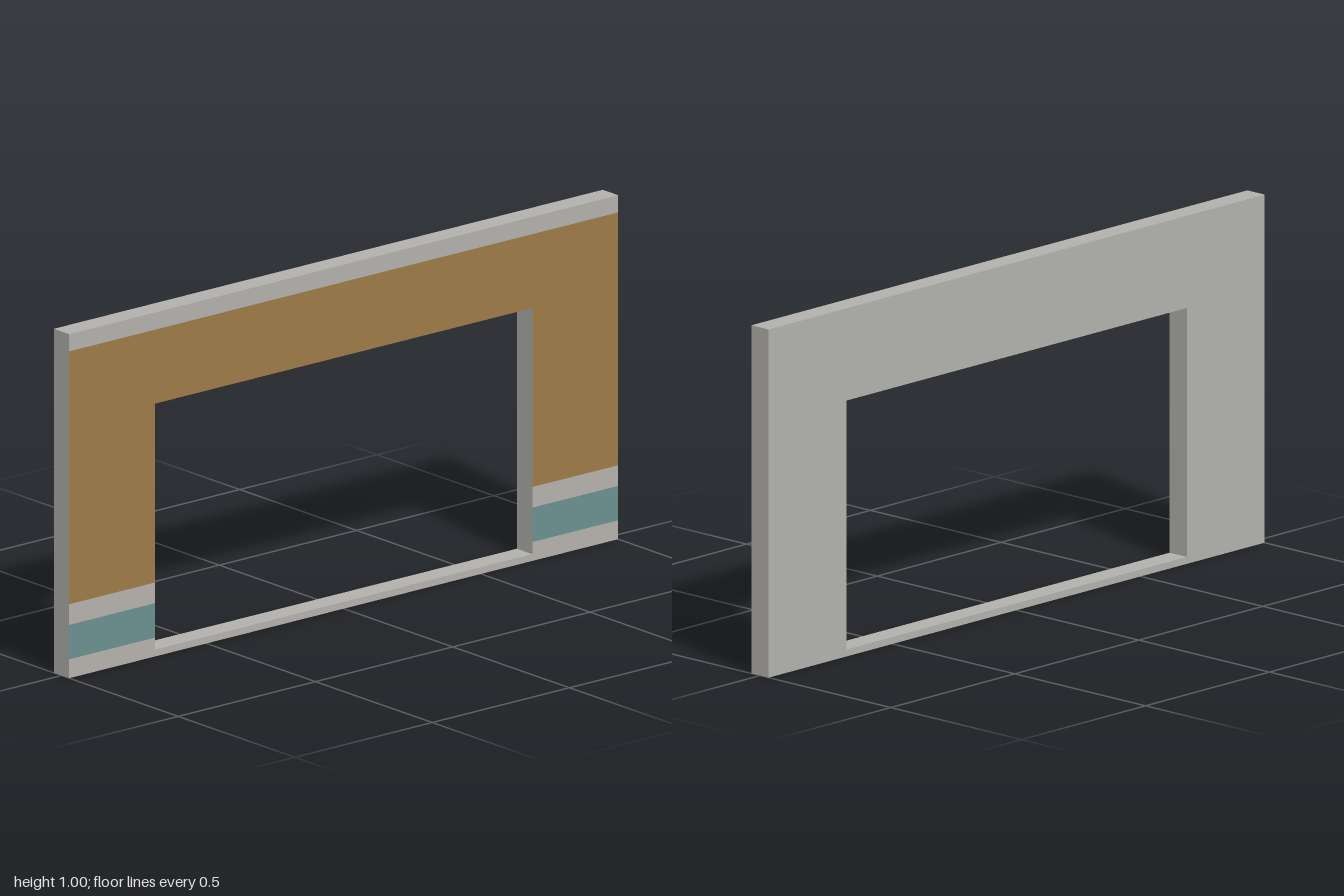
import * as THREE from 'three';

const T = 0.033;                      // half thickness
const OPEN = 0.687;                   // half width of the opening
const SILL = 0.02, LINTEL = 0.735;    // bottom and top of the opening

function material(name, color) {
  const m = new THREE.MeshStandardMaterial({ color, side: THREE.DoubleSide });
  m.name = name;
  return m;
}

export function createModel() {
  const grey = material('concrete grey', 0xb2b1ad);
  const pale = material('warm pale grey', 0xb5b0ac);
  const ochre = material('ochre', 0x9d7b46);
  const teal = material('teal', 0x6b9090);
  const group = new THREE.Group();
  group.name = 'wallFrame';

  const add = (name, geometry, mat, parent = group) => {
    const mesh = new THREE.Mesh(geometry, mat);
    mesh.name = name;
    parent.add(mesh);
  };

  // Flat rectangle on the painted side (+x)
  const panel = (name, z0, z1, y0, y1, mat, parent) => add(name,
    new THREE.PlaneGeometry(z1 - z0, y1 - y0).rotateY(Math.PI / 2)
      .translate(T, (y0 + y1) / 2, (z0 + z1) / 2), mat, parent);

  // Horizontal face, facing up (1) or down (-1)
  const level = (name, halfLength, y, facing) => add(name,
    new THREE.PlaneGeometry(2 * T, 2 * halfLength).rotateX(-facing * Math.PI / 2)
      .translate(0, y, 0), grey);

  // Upright face across the thickness, facing +z (1) or -z (-1)
  const upright = (name, z, y1, facing) => add(name,
    new THREE.PlaneGeometry(2 * T, y1).rotateY(facing > 0 ? 0 : Math.PI)
      .translate(0, y1 / 2, z), grey);

  // Plain side with the opening cut out
  const outline = new THREE.Shape([[-1, 0], [1, 0], [1, 1], [-1, 1]]
    .map(p => new THREE.Vector2(...p)));
  outline.holes.push(new THREE.Path(
    [[-OPEN, SILL], [-OPEN, LINTEL], [OPEN, LINTEL], [OPEN, SILL]]
      .map(p => new THREE.Vector2(...p))));
  add('plainSide', new THREE.ShapeGeometry(outline).rotateY(-Math.PI / 2)
    .translate(-T, 0, 0), grey);

  // Painted side: pillar bands, then lintel and sill
  const painted = new THREE.Group();
  painted.name = 'paintedSide';
  group.add(painted);
  const bands = [
    ['plinthBand', 0, 0.055, pale],
    ['tealBand', 0.055, 0.155, teal],
    ['paleBand', 0.155, 0.215, pale],
    ['ochrePillar', 0.215, LINTEL, ochre],
  ];
  for (const [z0, z1] of [[-1, -OPEN], [OPEN, 1]])
    for (const [name, y0, y1, mat] of bands) panel(name, z0, z1, y0, y1, mat, painted);
  panel('ochreLintel', -1, 1, LINTEL, 0.95, ochre, painted);
  panel('topBand', -1, 1, 0.95, 1, grey, painted);
  panel('sillFront', -OPEN, OPEN, 0, SILL, pale, painted);

  // Top, sill and lintel faces; the pillars stay open underneath
  level('topFace', 1, 1, 1);
  level('sillTop', OPEN, SILL, 1);
  level('sillUnderside', OPEN, 0, -1);
  level('lintelUnderside', OPEN, LINTEL, -1);

  // Outer ends and opening jambs
  for (const s of [1, -1]) {
    upright('endFace', s, 1, s);
    upright('jamb', s * OPEN, LINTEL, -s);
  }
  return group;
}
